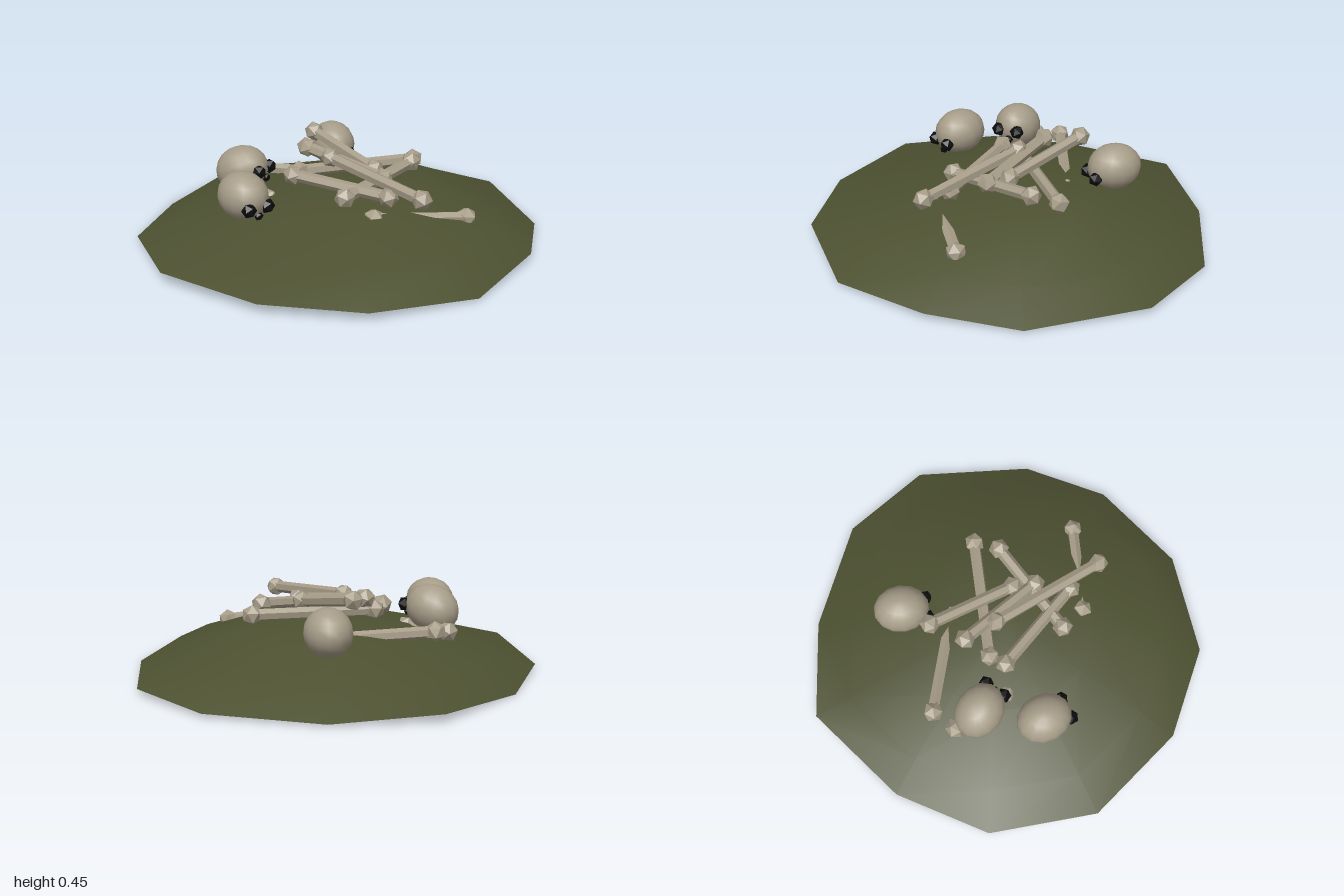
import * as THREE from 'three';

const mat = (name, color) => {
  const m = new THREE.MeshStandardMaterial({ color });
  m.name = name;
  return m;
};

export function createModel() {
  const model = new THREE.Group();
  model.name = 'bonePile';
  const moss = mat('moss', 0x4d5131);
  const earth = mat('earth', 0x968e80);
  const bone = mat('bone', 0xa69c88);
  const dark = mat('socket', 0x0c0c0c);

  const add = (parent, name, geo, material, x = 0, y = 0, z = 0) => {
    const m = new THREE.Mesh(geo, material);
    m.name = name;
    m.position.set(x, y, z);
    parent.add(m);
    return m;
  };
  const faceted = (geo) => {
    const g = geo.index ? geo.toNonIndexed() : geo;
    g.computeVertexNormals();
    return g;
  };

  // Uneven twelve-sided rim, starting at the back and running towards +x
  const rim = [
    [0.01, 0.04, -0.99], [0.46, 0.01, -0.8], [0.87, 0.018, -0.44], [1, 0.03, 0],
    [0.8, 0.012, 0.53], [0.48, 0.038, 0.82], [0.01, 0.012, 0.98], [-0.49, 0.044, 0.86],
    [-0.82, 0.05, 0.53], [-1, 0.055, 0.03], [-0.86, 0.02, -0.47], [-0.5, 0, -0.79],
  ];
  const n = rim.length;
  const heights = [
    [0.095, 0.1, 0.1, 0.1, 0.11, 0.125, 0.14, 0.12, 0.11, 0.1, 0.1, 0.1],
    [0.21, 0.22, 0.23, 0.25, 0.235, 0.225, 0.235, 0.22, 0.21, 0.215, 0.21, 0.21],
  ];

  // Mound: two inner rings and a crown, smooth on top
  const rings = [rim, ...[0.81, 0.45].map((s, k) =>
    rim.map(([x, , z], i) => [x * s, heights[k][i], z * s]))];
  const topPos = [...rings.flat(), [0, 0.275, 0.03]];
  const topIdx = [];
  for (let i = 0; i < n; i++) {
    const j = (i + 1) % n;
    for (let k = 0; k < 2; k++) {
      const a = k * n + i, b = k * n + j;
      topIdx.push(a, a + n, b, b, a + n, b + n);
    }
    topIdx.push(2 * n + i, 3 * n, 2 * n + j);
  }
  const surface = (points, index) => {
    const g = new THREE.BufferGeometry();
    g.setAttribute('position', new THREE.Float32BufferAttribute(points.flat(), 3));
    g.setIndex(index);
    g.computeVertexNormals();
    return g;
  };
  add(model, 'mound', surface(topPos, topIdx), moss);

  // Underside: a shallow fan, with the front corner folded down
  const edge = rim.map((_, i) => i).filter((i) => i !== 6);
  const underIdx = [5, 6, 7, ...edge.flatMap((i, k) => [i, edge[(k + 1) % edge.length], n])];
  add(model, 'underside', faceted(surface([...rim, [0, 0.028, 0]], underIdx)), earth);

  // Skulls: long cranium, two sockets and a nose; position, yaw, pitch
  const cranium = new THREE.SphereGeometry(0.112, 14, 10).scale(1, 1, 1.2);
  const socket = faceted(new THREE.IcosahedronGeometry(0.036, 0));
  const nose = faceted(new THREE.IcosahedronGeometry(0.022, 0));
  const skulls = [
    [-0.53, 0.292, -0.03, 0.05, 0],
    [-0.375, 0.315, -0.287, 0.5, -0.35],
    [0.25, 0.29, -0.41, -0.28, 0],
  ];
  for (const [x, y, z, yaw, pitch] of skulls) {
    const skull = new THREE.Group();
    skull.name = 'skull';
    skull.position.set(x, y, z);
    skull.rotation.set(pitch, yaw, 0, 'YXZ');
    add(skull, 'cranium', cranium, bone);
    for (const s of [-1, 1]) add(skull, 'eyeSocket', socket, dark, s * 0.05, -0.028, 0.118);
    add(skull, 'nose', nose, dark, 0.008, -0.07, 0.108);
    model.add(skull);
  }

  // Scattered bones: six-sided shaft with a faceted knob at each end
  const knob = faceted(new THREE.IcosahedronGeometry(0.05, 0));
  const up = new THREE.Vector3(0, 1, 0);
  const bones = [
    [-0.27, 0.25, -0.48, 0.165, 0.2, -0.19],
    [0.32, 0.168, 0.55, -0.1, 0.21, 0.39],
    [0.05, 0.315, 0.545, -0.03, 0.37, -0.04],
    [-0.05, 0.38, -0.21, 0.085, 0.315, 0.22],
    [-0.15, 0.3, -0.13, 0.41, 0.297, 0.05],
    [-0.16, 0.28, 0.25, 0.32, 0.325, 0.14],
    [-0.22, 0.31, -0.08, 0, 0.285, 0.37],
    [0.08, 0.405, -0.33, 0.115, 0.325, 0.115],
    [-0.38, 0.225, -0.415, -0.33, 0.2, -0.13],
  ];
  for (const p of bones) {
    const a = new THREE.Vector3(...p.slice(0, 3));
    const b = new THREE.Vector3(...p.slice(3));
    const dir = b.clone().sub(a);
    const group = new THREE.Group();
    group.name = 'bone';
    group.position.copy(a).add(b).multiplyScalar(0.5);
    group.quaternion.setFromUnitVectors(up, dir.clone().normalize());
    const len = dir.length();
    add(group, 'shaft', faceted(new THREE.CylinderGeometry(0.029, 0.029, len, 6)), bone);
    for (const s of [-1, 1]) add(group, 'knob', knob, bone, 0, s * len / 2, 0);
    model.add(group);
  }
  return model;
}
